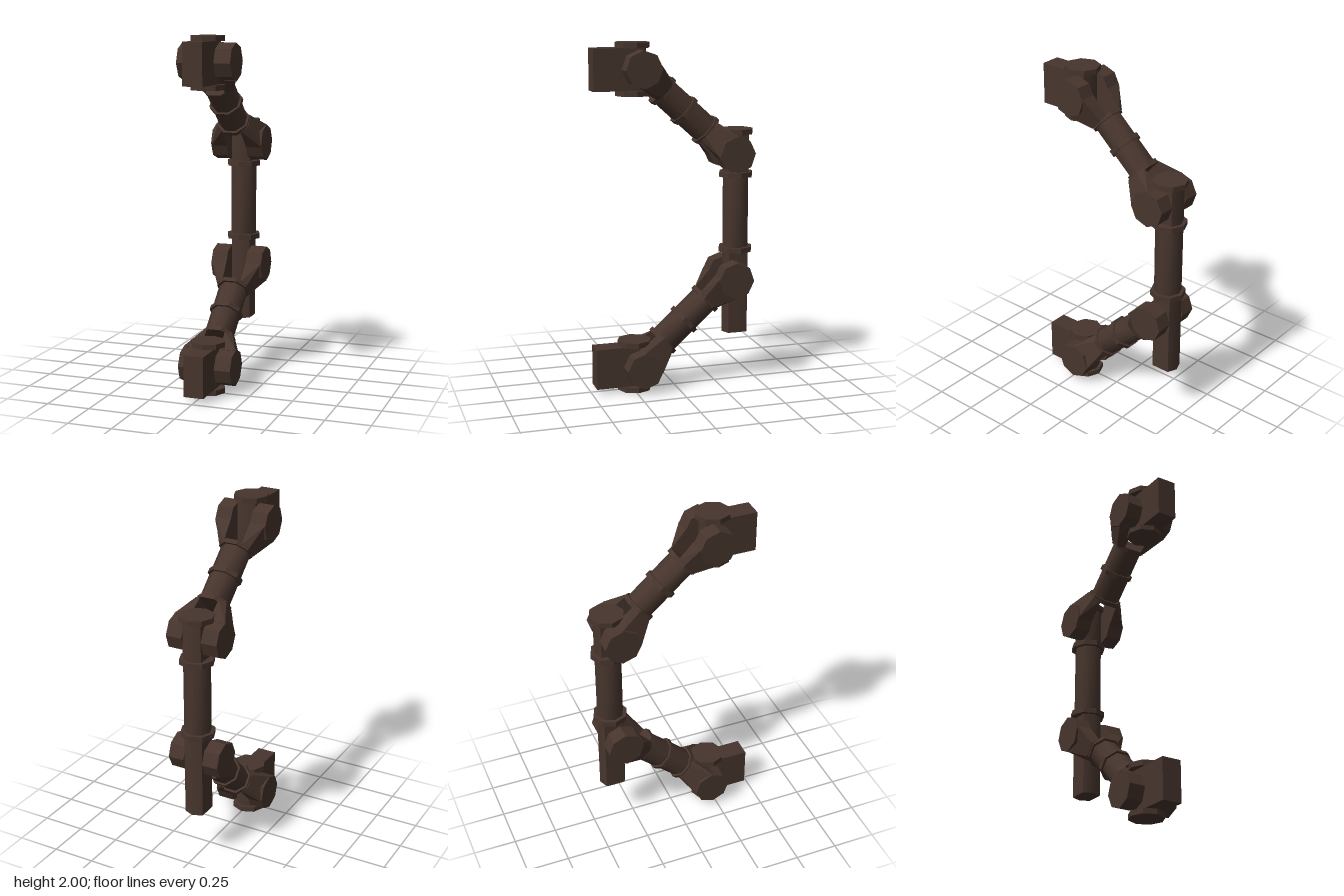
import * as THREE from 'three';
import { toCreasedNormals } from 'three/addons/utils/BufferGeometryUtils.js';
import { ConvexGeometry } from 'three/addons/geometries/ConvexGeometry.js';

export function createModel() {
  const model = new THREE.Group();
  const brown = new THREE.MeshStandardMaterial({ color: 0x47352d });
  brown.name = 'dark brown';

  const add = (parent, name, geometry, x = 0, y = 0, z = 0) => {
    const mesh = new THREE.Mesh(geometry, brown);
    mesh.name = name;
    mesh.position.set(x, y, z);
    parent.add(mesh);
    return mesh;
  };

  // Eight-sided prism: corners on the axes, or flats on the axes when turned
  const prism = (radius, height, turned = false) =>
    new THREE.CylinderGeometry(radius, radius, height, 8, 1, false, turned ? Math.PI / 8 : 0);
  const smooth = (g) => toCreasedNormals(g, 1);
  const flat = (g) => toCreasedNormals(g, 0.3);

  // Prism with its two sides cut flat so that it fits between fork plates
  const flatSided = (height) => {
    const g = prism(0.079, height);
    const p = g.attributes.position;
    for (let i = 0; i < p.count; i++) p.setX(i, THREE.MathUtils.clamp(p.getX(i), -0.057, 0.057));
    return smooth(g);
  };

  const cap = (parent, name, y, z) => add(parent, name, flat(prism(0.1, 0.03)), 0, y, z);

  // Mounting blocks with their pivot pins and caps
  for (const [name, y] of [['lowerMount', 0.1525], ['upperMount', 1.8525]]) {
    const mount = new THREE.Group();
    mount.name = name;
    mount.position.set(0, y, 0.24);
    add(mount, 'mountBlock', new THREE.BoxGeometry(0.114, 0.235, 0.235), 0, 0, 0.1175);
    add(mount, 'mountPin', flatSided(0.235));
    cap(mount, 'mountTopCap', 0.1325, 0);
    cap(mount, 'mountBottomCap', -0.1325, 0);
    model.add(mount);
  }

  // Upright handle
  const post = new THREE.Group();
  post.name = 'handle';
  post.position.z = -0.373;
  add(post, 'handleGrip', smooth(prism(0.078, 0.44)), 0, 1.02, 0);
  add(post, 'handleLowerEnd', flatSided(0.49), 0, 0.547, 0);
  add(post, 'handleUpperEnd', flatSided(0.24), 0, 1.36, 0);
  for (const y of [0.799, 1.238, 1.485]) cap(post, 'handleCap', y, 0);
  model.add(post);

  // Tapering neck that joins a fork disc to the collar
  const neckPoints = (side) => {
    const points = [];
    for (const h of [-1, 1]) {
      points.push(
        new THREE.Vector3(side * 0.06, 0.305, h * 0.082),
        new THREE.Vector3(side * 0.155, 0.305, h * 0.082),
        new THREE.Vector3(side * 0.055, 0.172, h * 0.068),
        new THREE.Vector3(side * 0.094, 0.172, h * 0.042)
      );
    }
    return points;
  };

  // Fork: collar and two plates ending in eight-sided discs
  const makeFork = () => {
    const fork = new THREE.Group();
    fork.name = 'fork';
    add(fork, 'forkCollar', flat(prism(0.098, 0.026, true)), 0, 0.172, 0);
    for (const side of [-1, 1]) {
      add(fork, 'forkNeck', new ConvexGeometry(neckPoints(side)));
      const disc = prism(0.105, 0.095).rotateZ(Math.PI / 2);
      add(fork, 'forkDisc', flat(disc), side * 0.1075, 0.366, 0);
    }
    return fork;
  };

  // Slanted arms with a fork at each end
  const tilt = THREE.MathUtils.degToRad(48);
  for (const [name, y, sign] of [['lowerArm', 0.393, -1], ['upperArm', 1.612, 1]]) {
    const arm = new THREE.Group();
    arm.name = name;
    arm.position.set(0, y, -0.06);
    arm.rotation.x = sign * tilt;
    add(arm, 'armRod', smooth(prism(0.084, 0.33, true)));
    add(arm, 'armMiddleRing', flat(prism(0.097, 0.028, true)));
    const top = makeFork();
    const bottom = makeFork();
    bottom.rotation.x = Math.PI;
    arm.add(top, bottom);
    model.add(arm);
  }

  return model;
}
